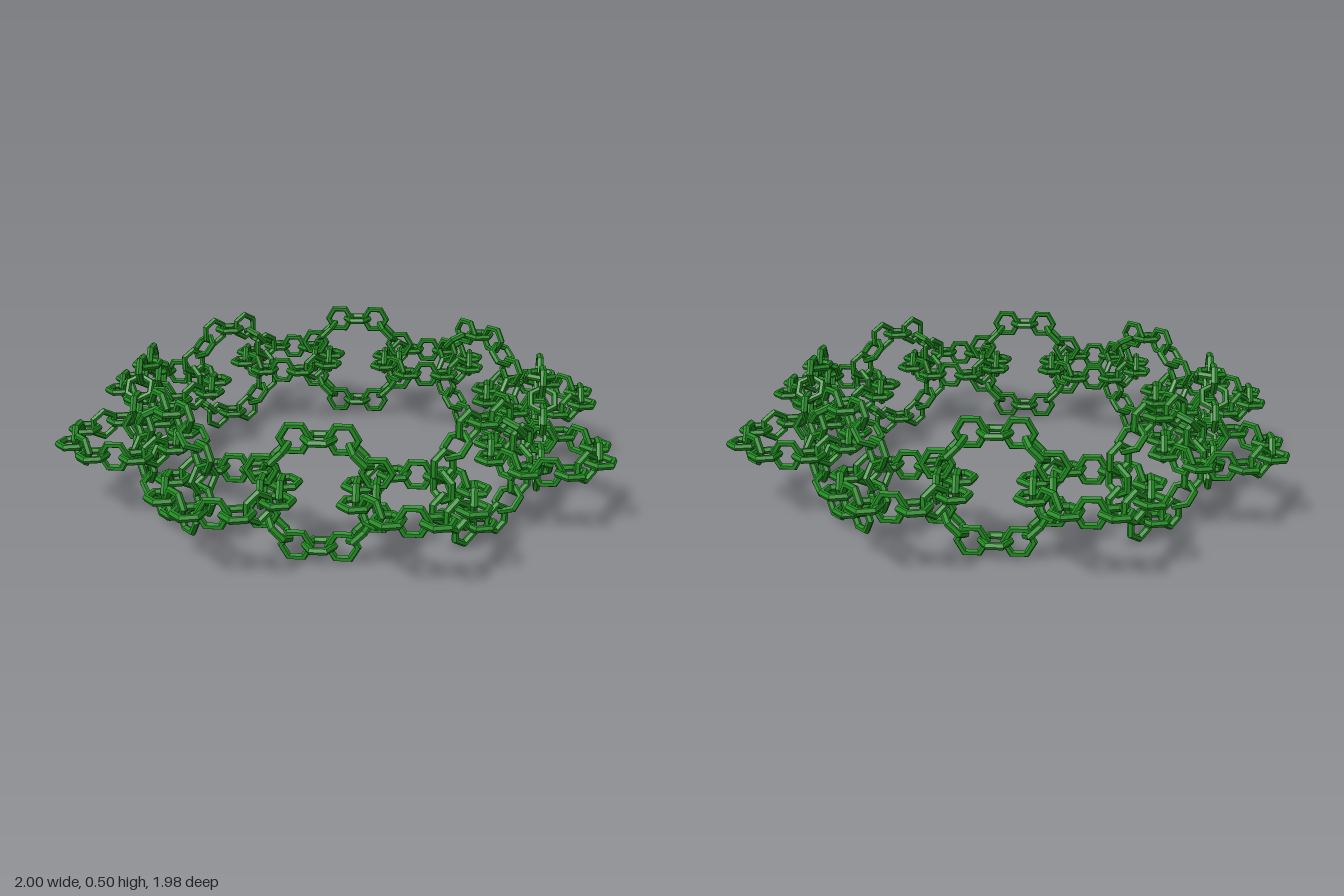
import * as THREE from 'three';

// A necklace whose 16 beads are themselves chains of 16 hexagonal links.
const APOTHEM = 0.75;      // main octagon, centre to side
const SCALE = 0.25;        // size ratio between nested chains
const TUBE = 0.013;
const LINK_RADIUS = APOTHEM / 12 - TUBE;

// Eight flat items at the corners of an octagon, eight upright ones across its sides
function chain(makeItem, apothem, itemName) {
  const group = new THREE.Group();
  const corner = apothem / Math.cos(Math.PI / 8);
  for (let i = 0; i < 16; i++) {
    const upright = i % 2 === 0;
    const angle = (i * Math.PI) / 8;
    const radius = upright ? apothem : corner;
    const item = makeItem();
    item.name = (upright ? 'upright' : 'flat') + itemName;
    item.position.set(Math.cos(angle) * radius, 0, Math.sin(angle) * radius);
    if (upright) {
      // stand the item up so that it spans the side it sits on
      if (i % 8 === 0) item.rotation.z = Math.PI / 2;
      else item.rotation.set(Math.PI / 2, Math.PI / 2 - angle, 0, 'YXZ');
    }
    group.add(item);
  }
  return group;
}

export function createModel() {
  const material = new THREE.MeshStandardMaterial({ color: 0x228b22, flatShading: true });

  // Single hexagonal link lying flat, corners along x
  const linkGeometry = new THREE.TorusGeometry(LINK_RADIUS, TUBE, 6, 6);
  linkGeometry.rotateX(Math.PI / 2);

  const makeLink = () => new THREE.Mesh(linkGeometry, material);
  const makeRing = () => chain(makeLink, APOTHEM * SCALE, 'Link');

  const necklace = chain(makeRing, APOTHEM, 'Ring');
  necklace.name = 'necklace';
  necklace.position.y = 0.25;

  const model = new THREE.Group();
  model.name = 'nestedChain';
  model.add(necklace);
  return model;
}
